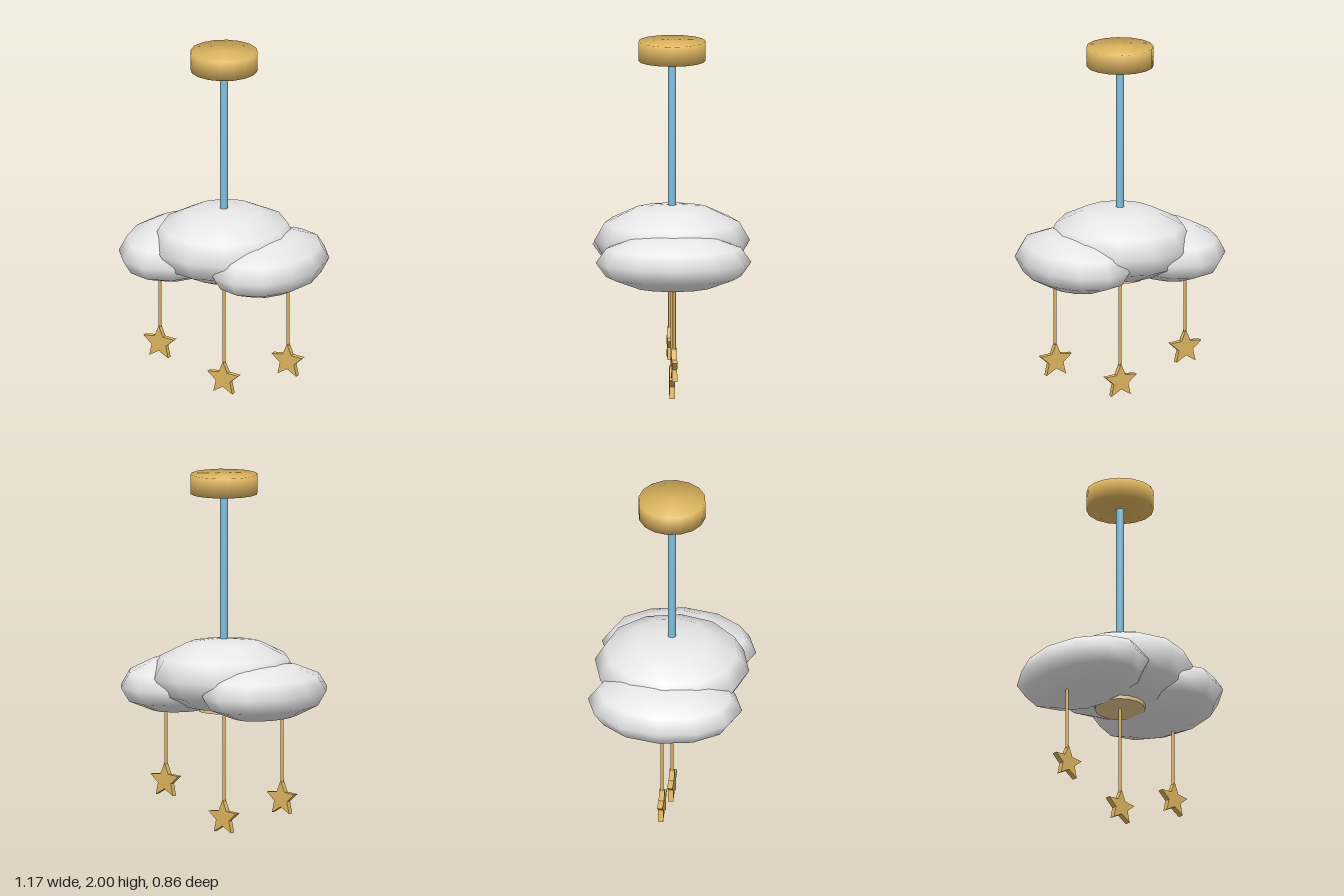
import * as THREE from 'three';
import { mergeVertices } from 'three/addons/utils/BufferGeometryUtils.js';

const paint = (name, color) => {
  const m = new THREE.MeshStandardMaterial({ color });
  m.name = name;
  return m;
};

// Cylinder between two heights, with normals blended softly over the rims
function softCylinder(radius, bottom, top, sides) {
  let g = new THREE.CylinderGeometry(radius, radius, top - bottom, sides);
  g.deleteAttribute('normal');
  g.deleteAttribute('uv');
  g = mergeVertices(g, 1e-4);
  g.computeVertexNormals();
  return g.translate(0, (top + bottom) / 2, 0);
}

// Flat five-pointed star, centred on its own origin
function starGeometry(outer, inner, depth) {
  const points = [];
  for (let i = 0; i < 10; i++) {
    const a = Math.PI / 2 + (i * Math.PI) / 5;
    const r = i % 2 ? inner : outer;
    points.push(new THREE.Vector2(Math.cos(a) * r, Math.sin(a) * r));
  }
  const g = new THREE.ExtrudeGeometry(new THREE.Shape(points), { depth, bevelEnabled: false });
  return g.translate(0, 0, -depth / 2);
}

export function createModel() {
  const model = new THREE.Group();
  model.name = 'cloudPendantLamp';
  const gold = paint('gold', 0xdeb55f);
  const blue = paint('skyBlue', 0x82c0dd);
  const white = paint('cloudWhite', 0xe8e8e8);
  const cream = paint('warmLight', 0xffe2a0);

  const add = (name, geometry, material, x = 0, y = 0) => {
    const mesh = new THREE.Mesh(geometry, material);
    mesh.name = name;
    mesh.position.set(x, y, 0);
    model.add(mesh);
  };

  // Ceiling mount and hanging rod
  add('ceilingMount', softCylinder(0.186, 1.89, 2, 16), gold);
  add('hangingRod', softCylinder(0.023, 1.05, 1.9, 10), blue);

  // Cloud: a large middle puff and two lower side puffs
  const puff = (rx, ry, rz) => new THREE.SphereGeometry(1, 12, 6).scale(rx, ry, rz);
  add('middlePuff', puff(0.4, 0.202, 0.43), white, 0, 0.882);
  add('leftPuff', puff(0.304, 0.16, 0.43), white, 0.28, 0.81);
  add('rightPuff', puff(0.304, 0.16, 0.43), white, -0.28, 0.81);

  // Light disc under the cloud
  add('lightDisc', new THREE.CylinderGeometry(0.14, 0.14, 0.05, 16), cream, 0, 0.702);

  // Stars on strings
  const star = starGeometry(0.1, 0.046, 0.03);
  for (const [side, x, y] of [['right', -0.4, 0.225], ['middle', 0, 0.081], ['left', 0.4, 0.252]]) {
    add(side + 'String', softCylinder(0.009, y + 0.09, 0.72, 8), gold, x);
    add(side + 'Star', star, gold, x, y);
  }
  return model;
}
